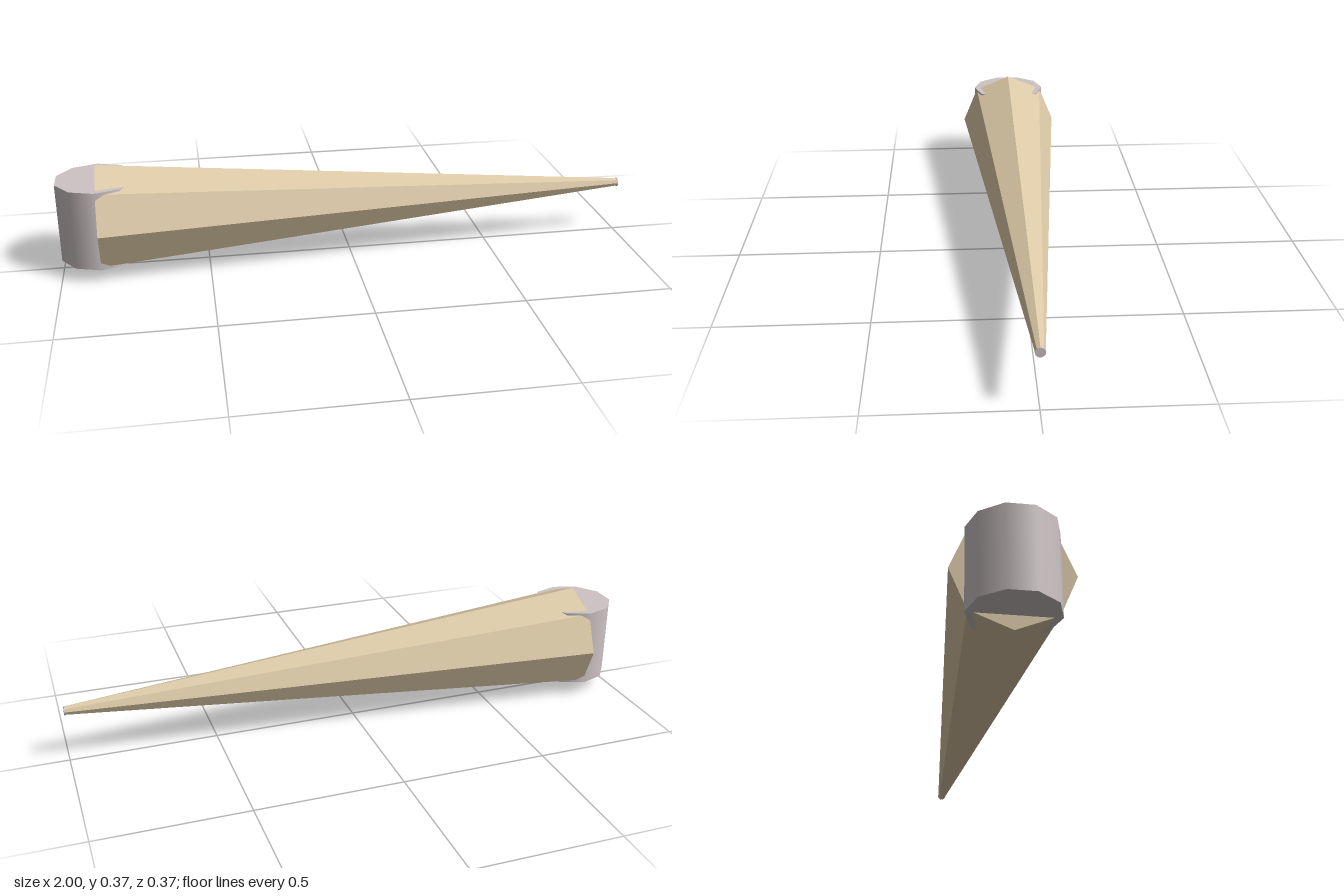
import * as THREE from 'three';

export function createModel() {
  const model = new THREE.Group();
  const tan = new THREE.MeshStandardMaterial({ name: 'tan shaft', color: 0xdcc9a6, flatShading: true });
  const grey = new THREE.MeshStandardMaterial({ name: 'pinkish grey', color: 0xcec4c5 });
  const midY = 0.187;

  const add = (name, geometry, material, x, y) => {
    const mesh = new THREE.Mesh(geometry, material);
    mesh.name = name;
    mesh.position.set(x, y, 0);
    model.add(mesh);
  };

  // Eight-sided tapering shaft lying along x
  const base = -0.865, end = 0.998;
  const shaft = new THREE.CylinderGeometry(0.0145, 0.186, end - base, 8).rotateZ(-Math.PI / 2);
  add('taperedShaft', shaft, tan, (base + end) / 2, midY);

  // Upright ten-sided hub at the wide end
  add('hub', new THREE.CylinderGeometry(0.14, 0.14, 0.277, 10), grey, -0.867, midY);

  // Small round cap on the point
  const cap = new THREE.CylinderGeometry(0.0155, 0.0155, 0.004, 16).rotateZ(-Math.PI / 2);
  add('tipCap', cap, grey, 0.998, midY);

  return model;
}
